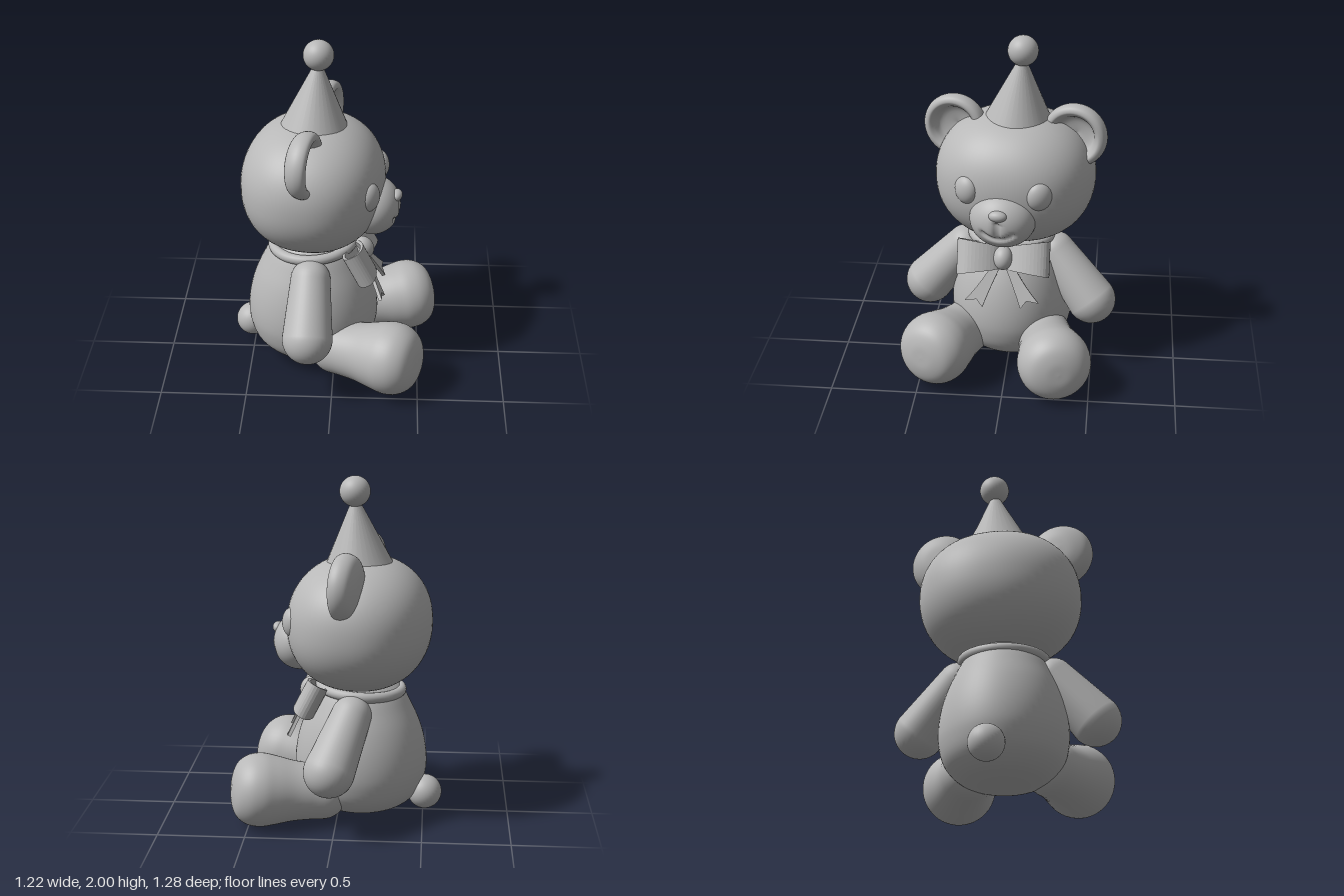
import * as THREE from 'three';
import { mergeVertices } from 'three/addons/utils/BufferGeometryUtils.js';

const grey = new THREE.MeshStandardMaterial({ color: 0xb8b8b8 });
grey.name = 'plain grey';

function add(parent, name, geometry, pos = [0, 0, 0], rot = [0, 0, 0], scale = [1, 1, 1]) {
  const mesh = new THREE.Mesh(geometry, grey);
  mesh.name = name;
  mesh.position.set(...pos);
  mesh.rotation.set(...rot);
  mesh.scale.set(...scale);
  parent.add(mesh);
  return mesh;
}

// Smooth turned solid from a few [radius, height] points, bottom to top
function turned(points, segments = 48) {
  const curve = new THREE.CatmullRomCurve3(points.map(([r, y]) => new THREE.Vector3(r, y, 0)), false, 'centripetal');
  return new THREE.LatheGeometry(curve.getPoints(48).map(p => new THREE.Vector2(Math.max(0, p.x), p.y)), segments);
}

// Moves the vertices of a unit sphere by a rule
function shapedSphere(rule) {
  let geo = new THREE.SphereGeometry(1, 64, 48);
  geo.deleteAttribute('uv');
  geo.deleteAttribute('normal');
  geo = mergeVertices(geo);
  const p = geo.attributes.position, v = new THREE.Vector3();
  for (let i = 0; i < p.count; i++) {
    v.fromBufferAttribute(p, i);
    rule(v);
    p.setXYZ(i, v.x, v.y, v.z);
  }
  geo.computeVertexNormals();
  return geo;
}

// Puts a mesh's base at one point with its +y axis towards another
function aim(mesh, from, to) {
  const a = new THREE.Vector3(...from), dir = new THREE.Vector3(...to).sub(a).normalize();
  mesh.position.copy(a);
  mesh.quaternion.setFromUnitVectors(new THREE.Vector3(0, 1, 0), dir);
}

// Tapered round-ended limb between two ball centres
function limb(parent, name, a, b, ra, rb) {
  const len = new THREE.Vector3(...a).distanceTo(new THREE.Vector3(...b));
  const pts = [];
  for (let i = 0; i <= 10; i++) {
    const t = -Math.PI / 2 + i * Math.PI / 20;
    pts.push(new THREE.Vector2(ra * Math.cos(t), ra * Math.sin(t)));
  }
  for (let i = 0; i <= 10; i++) {
    const t = i * Math.PI / 20;
    pts.push(new THREE.Vector2(Math.max(0, rb * Math.cos(t)), len + rb * Math.sin(t)));
  }
  aim(add(parent, name, new THREE.LatheGeometry(pts, 40)), a, b);
}

function makeHead() {
  const head = new THREE.Group();
  head.name = 'head';
  head.position.set(-0.125, 1.155, -0.03);
  head.rotation.y = -0.13;
  const ball = new THREE.SphereGeometry(1, 40, 28);

  // Skull, a little boxier than an ellipsoid
  const e = 2.2;
  add(head, 'skull', shapedSphere(v => {
    const k = Math.abs(v.x) ** e + Math.abs(v.y) ** e + Math.abs(v.z) ** e;
    v.multiplyScalar(k ** (-1 / e));
    v.set(v.x * 0.413, v.y * 0.388, v.z * 0.465);
  }));

  // Muzzle with a pressed-in mouth
  add(head, 'muzzle', shapedSphere(v => {
    const dent = d => Math.exp(-((d / 0.09) ** 2));
    if (v.x > 0) {
      const smile = Math.abs(v.z) < 0.5 ? dent(v.y + 0.42 - v.z * v.z * 0.9) : 0;
      const line = v.y > -0.42 && v.y < 0.2 ? dent(v.z) : 0;
      v.x -= 0.14 * Math.max(smile, line);
    }
    v.set(v.x * 0.155, v.y * 0.165, v.z * 0.19);
  }), [0.352, -0.13, 0]);
  add(head, 'nose', ball, [0.482, -0.055, 0], [0, 0, 0.35], [0.035, 0.032, 0.052]);

  // Cupped ears and eyes
  const earGeo = turned([[0, -0.075], [0.1, -0.065], [0.165, -0.035], [0.188, 0.015], [0.178, 0.06],
    [0.15, 0.072], [0.125, 0.05], [0.1, 0.01], [0, -0.015]]);
  for (const s of [1, -1]) {
    add(head, s > 0 ? 'leftSideEar' : 'rightSideEar', earGeo, [0, 0.275, s * 0.35], [0, -0.12, -Math.PI / 2]);
    add(head, 'eye', ball, [0.352, 0.03, s * 0.208], [0, -s * 0.5, 0], [0.055, 0.085, 0.076]);
  }

  return head;
}

function makeBow() {
  const bow = new THREE.Group();
  bow.name = 'bow';
  bow.position.set(0.15, 0.73, 0.02);
  bow.rotation.z = 0.47;

  // Hollow ribbon loop, flaring outwards
  const outline = (s, x0, x1, w) => {
    s.moveTo(x0, 0);
    s.bezierCurveTo(x0 + 0.05, -w, x1, -w * 1.3, x1, 0);
    s.bezierCurveTo(x1, w * 1.3, x0 + 0.05, w, x0, 0);
    return s;
  };
  const shape = outline(new THREE.Shape(), 0.01, 0.27, 0.075);
  shape.holes.push(outline(new THREE.Path(), 0.04, 0.255, 0.055));
  const loop = new THREE.ExtrudeGeometry(shape, { depth: 1, bevelEnabled: false, curveSegments: 16 });
  const p = loop.attributes.position;
  for (let i = 0; i < p.count; i++) {
    const a = p.getX(i), b = p.getY(i), c = p.getZ(i);
    p.setXYZ(i, b, (c - 0.5) * (0.13 + 0.3 * a), a);
  }
  loop.computeVertexNormals();

  for (const s of [1, -1]) {
    add(bow, 'bowLoop', loop, [0, 0, 0], [0, s > 0 ? 0 : Math.PI, 0]);
    // Tail with a notched end
    const t = new THREE.Shape();
    t.moveTo(0, -0.02);
    t.quadraticCurveTo(s * 0.06, -0.15, s * 0.11, -0.29);
    t.lineTo(s * 0.145, -0.245);
    t.lineTo(s * 0.215, -0.255);
    t.quadraticCurveTo(s * 0.12, -0.15, s * 0.05, -0.02);
    const tail = new THREE.ExtrudeGeometry(t, { depth: 0.02, bevelEnabled: false, curveSegments: 8 });
    add(bow, 'bowTail', tail, [0, 0, 0], [0, Math.PI / 2, 0]);
  }
  add(bow, 'bowKnot', new THREE.SphereGeometry(1, 32, 24), [0.02, 0, 0], [0, 0, 0], [0.06, 0.07, 0.056]);
  return bow;
}

export function createModel() {
  const bear = new THREE.Group();
  bear.name = 'seatedBear';

  // Torso and tail
  add(bear, 'body', turned([[0, 0.03], [0.15, 0.036], [0.26, 0.07], [0.345, 0.15], [0.38, 0.25], [0.386, 0.34],
    [0.372, 0.45], [0.34, 0.56], [0.295, 0.66], [0.24, 0.76], [0.18, 0.82]], 64), [-0.132, 0, -0.01], [0, 0, 0], [1, 1, 0.94]);
  add(bear, 'tail', new THREE.SphereGeometry(0.1, 32, 24), [-0.51, 0.15, -0.085]);

  // Arms
  limb(bear, 'leftSideArm', [-0.13, 0.665, 0.27], [-0.137, 0.405, 0.495], 0.115, 0.145);
  limb(bear, 'rightSideArm', [-0.09, 0.665, -0.27], [0.02, 0.405, -0.492], 0.115, 0.145);

  // Legs, each turned around its own axis from hip to sole
  const legGeo = turned([[0, 0], [0.1, 0.015], [0.15, 0.08], [0.163, 0.2], [0.175, 0.3], [0.2, 0.41], [0.213, 0.49],
    [0.2, 0.565], [0.155, 0.625], [0.08, 0.655], [0, 0.66]]);
  aim(add(bear, 'leftSideLeg', legGeo), [-0.1, 0.17, 0.19], [0.485, 0.235, 0.463]);
  aim(add(bear, 'rightSideLeg', legGeo), [-0.045, 0.17, -0.19], [0.6, 0.23, -0.335]);

  // Head, ribbon and bow
  bear.add(makeHead());
  add(bear, 'collar', new THREE.TorusGeometry(0.235, 0.03, 16, 64), [-0.13, 0.765, -0.01], [Math.PI / 2, 0.06, 0]);
  bear.add(makeBow());

  // Party hat with a ball on top
  const hat = add(bear, 'partyHat', new THREE.ConeGeometry(0.215, 0.46, 32));
  hat.geometry.translate(0, 0.23, 0);
  aim(hat, [-0.12, 1.45, -0.04], [-0.095, 1.9, -0.068]);
  add(bear, 'hatBall', new THREE.SphereGeometry(0.087, 32, 24), [-0.095, 1.913, -0.07]);
  return bear;
}
